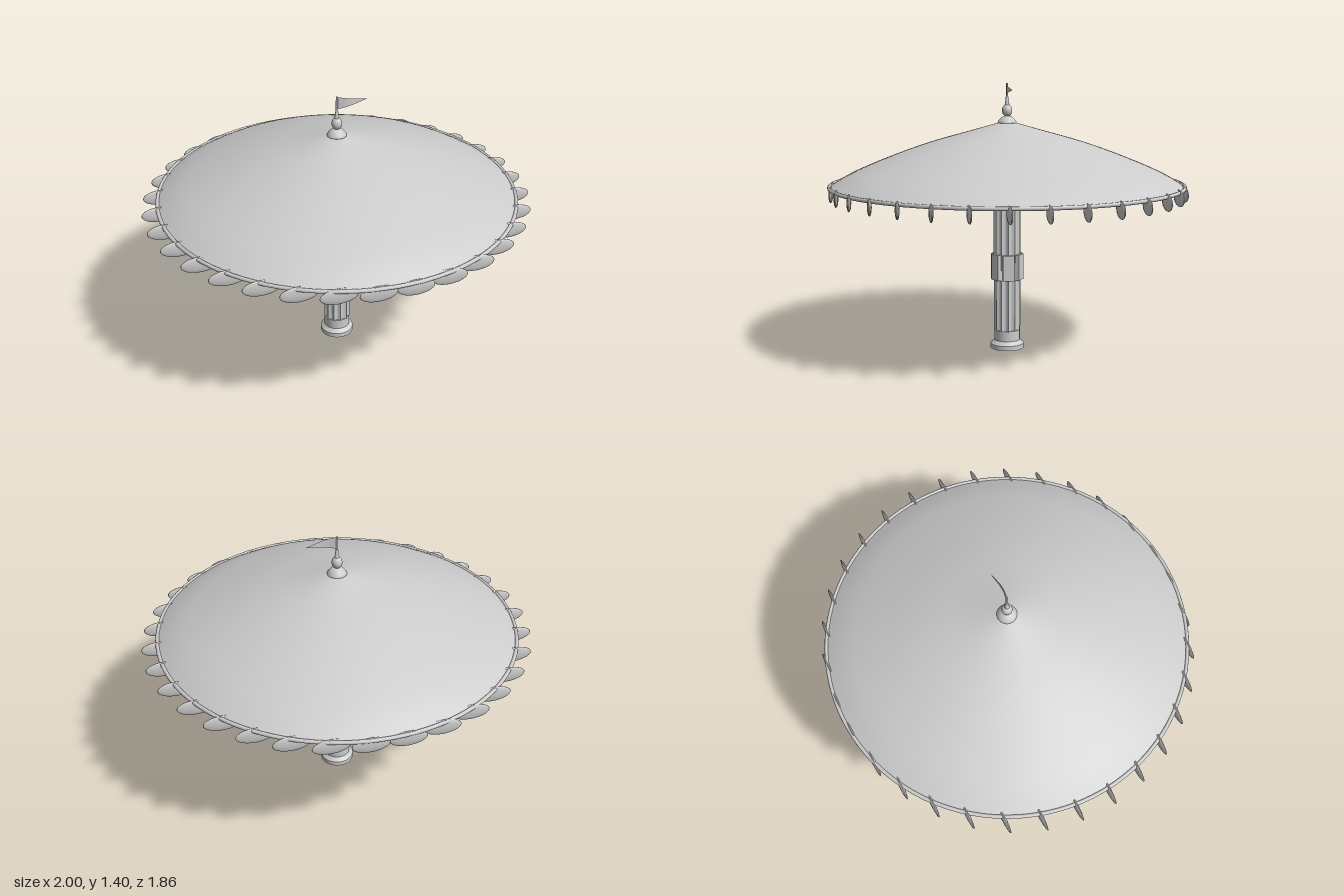
import * as THREE from 'three';

export function createModel() {
  const model = new THREE.Group();
  model.name = 'parasol';
  const grey = new THREE.MeshStandardMaterial({ color: 0xcccccc, side: THREE.DoubleSide });
  grey.name = 'light grey';

  const add = (name, geometry, parent = model) => {
    const mesh = new THREE.Mesh(geometry, grey);
    mesh.name = name;
    parent.add(mesh);
    return mesh;
  };
  const vectors = (points) => points.map(([x, y]) => new THREE.Vector2(x, y));
  // Turned part with crisp edges between its profile segments
  const turned = (name, points, segments = 48) => {
    const group = new THREE.Group();
    group.name = name;
    for (let i = 0; i < points.length - 1; i++) {
      add(name + 'Band', new THREE.LatheGeometry(vectors(points.slice(i, i + 2)), segments), group);
    }
    model.add(group);
  };

  // Column foot and capital
  turned('foot', [[0, 0], [0.088, 0], [0.088, 0.025], [0.072, 0.04], [0.068, 0.045], [0.068, 0.1], [0, 0.1]]);
  turned('capital', [[0, 0.805], [0.073, 0.805], [0.082, 0.825], [0.094, 0.835], [0.1, 0.845], [0.1, 0.862], [0.09, 0.87], [0, 0.87]]);

  // Fluted shaft: sharp ridges with hollow channels between them
  const flutes = 12, steps = 6;
  const outline = [];
  for (let i = 0; i < flutes * steps; i++) {
    const a = (i / (flutes * steps)) * Math.PI * 2;
    const r = 0.071 - 0.011 * Math.abs(Math.sin((a * flutes) / 2));
    outline.push(new THREE.Vector2(r * Math.cos(a), r * Math.sin(a)));
  }
  const shaft = add('flutedShaft', new THREE.ExtrudeGeometry(new THREE.Shape(outline), { depth: 0.71, bevelEnabled: false }));
  shaft.rotation.x = -Math.PI / 2;
  shaft.position.y = 0.098;

  // Six panels around the shaft
  for (let i = 0; i < 6; i++) {
    const a = (i * Math.PI) / 3;
    const panel = add('shaftPanel', new THREE.BoxGeometry(0.022, 0.136, 0.06));
    panel.position.set(0.07 * Math.cos(a), 0.441, 0.07 * Math.sin(a));
    panel.rotation.y = -a;
  }

  // Hollow canopy and its rim
  const curve = new THREE.SplineCurve(vectors([[0.92, 0.875], [0.8, 0.943], [0.6, 1.027], [0.4, 1.098], [0.2, 1.155], [0.03, 1.203]]));
  add('canopy', new THREE.LatheGeometry(curve.getPoints(24), 96));
  const rim = add('rim', new THREE.TorusGeometry(0.92, 0.01, 10, 96));
  rim.rotation.x = Math.PI / 2;
  rim.position.y = 0.875;

  // Flat oval drops around the rim, all facing the front
  const drop = new THREE.SphereGeometry(1, 24, 16);
  drop.scale(0.091, 0.042, 0.011);
  for (let i = 0; i < 32; i++) {
    const a = ((i + 0.5) * Math.PI) / 16;
    add('rimDrop', drop).position.set(0.913 * Math.cos(a), 0.846, 0.913 * Math.sin(a));
  }

  // Finial: domed base, bead and tapered pole
  add('finialBase', new THREE.LatheGeometry(vectors([[0, 1.195], [0.05, 1.195], [0.05, 1.2], [0.042, 1.214], [0.03, 1.226], [0.016, 1.234], [0, 1.236]]), 32));
  const bead = add('finialBead', new THREE.SphereGeometry(0.027, 24, 16));
  bead.scale.y = 1.2;
  bead.position.y = 1.262;
  const spike = add('finialSpike', new THREE.CylinderGeometry(0.006, 0.013, 0.05, 16));
  spike.position.y = 1.311;
  const pole = add('flagPole', new THREE.CylinderGeometry(0.005, 0.006, 0.08, 12));
  pole.position.y = 1.364;

  // Rippled triangular pennant
  const pennant = new THREE.PlaneGeometry(1, 1, 16, 1);
  const p = pennant.attributes.position;
  for (let i = 0; i < p.count; i++) {
    const t = p.getX(i) + 0.5;
    const y = 1.371 + p.getY(i) * 0.066 * (1 - t);
    p.setXYZ(i, 0.162 * t, y, 0.008 * Math.sin(t * Math.PI * 1.4));
  }
  pennant.computeVertexNormals();
  add('pennant', pennant);

  return model;
}
